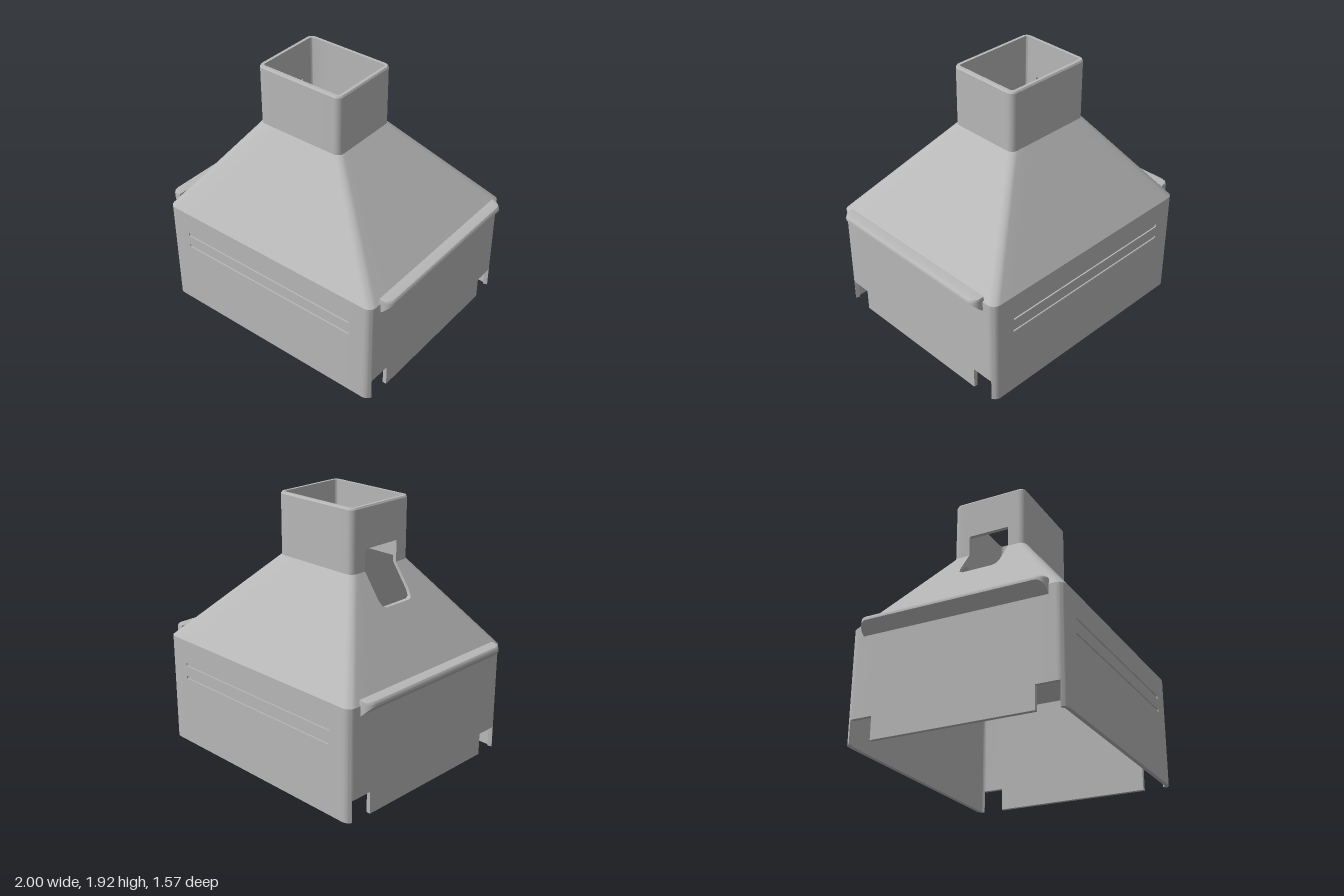
import * as THREE from 'three';
import { toCreasedNormals } from 'three/addons/utils/BufferGeometryUtils.js';

const { lerp } = THREE.MathUtils;

// Collects quads as loose triangles, then shades them with sharp creases
function quadBuilder() {
  const pos = [];
  return {
    quad: (a, b, c, d) => pos.push(...a, ...b, ...c, ...a, ...c, ...d),
    tri: (a, b, c) => pos.push(...a, ...b, ...c),
    build: () => {
      const g = new THREE.BufferGeometry();
      g.setAttribute('position', new THREE.Float32BufferAttribute(pos, 3));
      return toCreasedNormals(g, 0.5);
    },
  };
}

// Key cross-sections of the hood: rounded rectangles with wall thickness t;
// bx and bz place the side columns used for cut-outs
const body = { cx: 0, hx: 0.92, hz: 0.787, r: 0.06, t: 0.03, bx: 0.585, bz: 0.74 };
const neck = { cx: -0.095, hx: 0.355, hz: 0.285, r: 0.05, t: 0.03, bx: 0.2, bz: 0.2 };
const KEYS = [
  { y: 0, ...body },
  { y: 0.82, ...body },
  { y: 1.475, ...neck },
  { y: 1.913, ...neck },
  { y: 1.925, ...neck, hx: 0.347, hz: 0.277, r: 0.042, t: 0.022 },
];

function sectionAt(y) {
  let n = 0;
  while (n < KEYS.length - 2 && y > KEYS[n + 1].y) n++;
  const a = KEYS[n], b = KEYS[n + 1], f = (y - a.y) / (b.y - a.y), s = {};
  for (const key in a) s[key] = lerp(a[key], b[key], f);
  return s;
}

// One closed loop, counter-clockwise from above: four sides, each followed by its corner
const ARC = 8, PER_SIDE = 4 + ARC + 1;
function loop(s, inset, holeHalf) {
  const pts = [];
  for (let k = 0; k < 4; k++) {
    const nx = [1, 0, -1, 0][k], nz = [0, -1, 0, 1][k];
    const tx = nz, tz = -nx;
    const even = k % 2 === 0;
    const D = even ? s.hx : s.hz, L = even ? s.hz : s.hx, B = even ? s.bx : s.bz;
    const A = k === 2 ? holeHalf : 0.155;
    const put = (u, v) => pts.push([s.cx + nx * u + tx * v, s.y, nz * u + tz * v]);
    for (const v of [-B, -A, A, B]) put(D - inset, v);
    for (let i = 0; i <= ARC; i++) {
      const a = (i / ARC) * Math.PI / 2, r = s.r - inset;
      put(D - s.r + r * Math.cos(a), L - s.r + r * Math.sin(a));
    }
  }
  return pts;
}

// Hollow hood with foot notches, shallow grooves and a side opening
function hoodGeometry() {
  const rows = [0, 0.165, 0.52, 0.54, 0.62, 0.645, 0.82, 1.25, 1.262, 1.3, 1.475, 1.63, 1.913, 1.925];
  const roundedHole = { 1.25: 0.115, 1.262: 0.143 };
  const outer = [], inner = [];
  for (const y of rows) {
    const s = sectionAt(y), half = roundedHole[y] ?? 0.155;
    outer.push(loop(s, 0, half));
    inner.push(loop(s, s.t, half));
  }
  const cols = 4 * PER_SIDE;

  // How deep each cell is cut: 0 solid, 1 right through
  const cut = (i, j) => {
    if (i < 0 || i >= rows.length - 1) return 1;
    j = (j + cols) % cols;
    const k = Math.floor(j / PER_SIDE), c = j % PER_SIDE;
    if (i === 0 && (k % 2 ? c >= 10 : c >= 3 && c <= 5)) return 1;
    if ((i === 2 || i === 4) && k % 2 && c <= 2) return 0.35;
    if (i >= 7 && i <= 10 && k === 2 && c === 1) return 1;
    return 0;
  };
  const point = (i, j, d) => {
    const a = outer[i][j % cols], b = inner[i][j % cols];
    return a.map((v, n) => lerp(v, b[n], d));
  };

  const q = quadBuilder();
  for (let i = 0; i < rows.length - 1; i++) {
    for (let j = 0; j < cols; j++) {
      const d = cut(i, j);
      if (d === 1) continue;
      const corners = [[i, j], [i, j + 1], [i + 1, j + 1], [i + 1, j]];
      const o = corners.map(([r, c]) => point(r, c, d));
      const n = corners.map(([r, c]) => point(r, c, 1));
      q.quad(...o);
      q.quad(n[3], n[2], n[1], n[0]);
      // edge walls wherever the neighbouring cell is cut deeper
      const around = [cut(i - 1, j), cut(i, j + 1), cut(i + 1, j), cut(i, j - 1)];
      around.forEach((depth, e) => {
        if (depth <= d) return;
        const f = (e + 1) % 4;
        q.quad(point(...corners[e], depth), point(...corners[f], depth), o[f], o[e]);
      });
    }
  }
  return q.build();
}

// Side grip: sloping underside, rounded lip and rounded plan corners
function gripGeometry() {
  const HALF = 0.685, R = 0.06, DEPTH = 0.085, STEPS = 8;
  const ends = [];
  for (let i = 0; i <= STEPS; i++) {
    const a = (i / STEPS) * Math.PI / 2;
    ends.push({ z: HALF - R + R * Math.cos(a), d: DEPTH - R + R * Math.sin(a) });
  }
  const stations = [...ends.map(({ z, d }) => ({ z: -z, d })), ...[...ends].reverse()];
  const sections = stations.map(({ z, d }) => [
    [-0.005, 0.74], [d, 0.74 + d], [d, 0.836], [d - 0.004, 0.848],
    [d - 0.012, 0.857], [d - 0.024, 0.86], [-0.005, 0.86],
  ].map(([x, y]) => [0.915 + x, y, z]));

  const q = quadBuilder(), n = sections[0].length;
  for (let s = 0; s < sections.length - 1; s++) {
    const a = sections[s], b = sections[s + 1];
    for (let p = 0; p < n; p++) {
      const r = (p + 1) % n;
      q.quad(a[p], a[r], b[r], b[p]);
    }
  }
  const first = sections[0], last = sections[sections.length - 1];
  for (let p = 1; p < n - 1; p++) {
    q.tri(last[0], last[p], last[p + 1]);
    q.tri(first[0], first[p + 1], first[p]);
  }
  return q.build();
}

export function createModel() {
  const grey = new THREE.MeshStandardMaterial({ color: 0xb8b8b8 });
  grey.name = 'grey';
  const group = new THREE.Group();
  group.name = 'funnelHood';

  const hood = new THREE.Mesh(hoodGeometry(), grey);
  hood.name = 'hoodShell';
  group.add(hood);

  // Matching grips on both sides
  const grip = gripGeometry();
  ['leftGrip', 'rightGrip'].forEach((name, i) => {
    const mesh = new THREE.Mesh(grip, grey);
    mesh.name = name;
    mesh.rotation.y = i * Math.PI;
    group.add(mesh);
  });
  return group;
}
